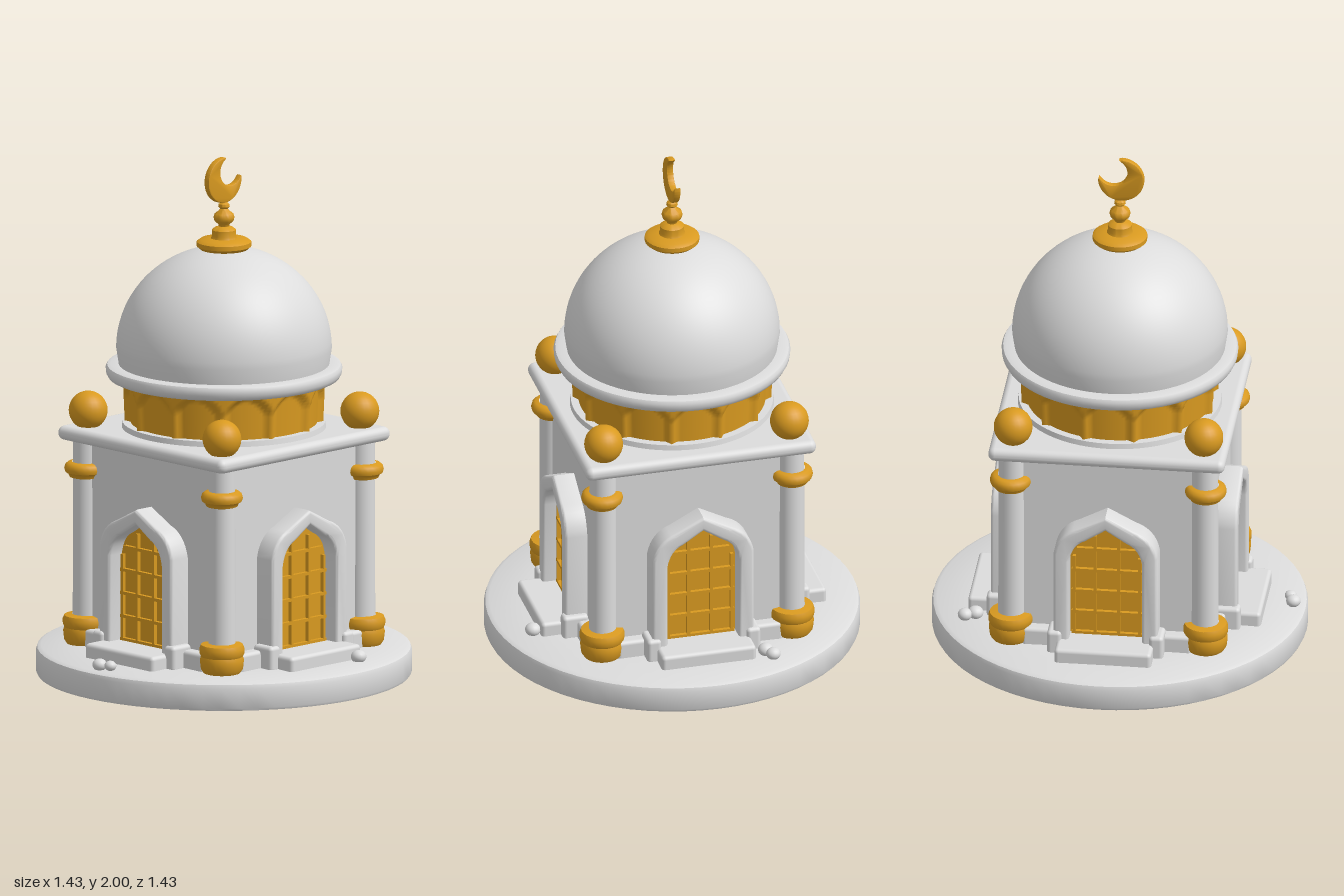
import * as THREE from 'three';
import { toCreasedNormals } from 'three/addons/utils/BufferGeometryUtils.js';
import { RoundedBoxGeometry } from 'three/addons/geometries/RoundedBoxGeometry.js';

const white = new THREE.MeshStandardMaterial({ color: 0xdcdcdc });
white.name = 'white stone';
const gold = new THREE.MeshStandardMaterial({ color: 0xd99a20 });
gold.name = 'gold';

function add(parent, name, geometry, material, x = 0, y = 0, z = 0) {
  const mesh = new THREE.Mesh(geometry, material);
  mesh.name = name;
  mesh.position.set(x, y, z);
  parent.add(mesh);
  return mesh;
}

// Turned part from [radius, height] pairs, bottom to top
function turned(profile, segments = 48) {
  const points = profile.map(([r, y]) => new THREE.Vector2(r, y));
  return toCreasedNormals(new THREE.LatheGeometry(points, segments), 0.7);
}

function block(w, h, d, r = 0.015) {
  return new RoundedBoxGeometry(w, h, d, 3, r);
}

// Pointed arch outline
function arch(target, half, bottom, shoulder, apex) {
  const mid = shoulder + (apex - shoulder) * 0.5;
  target.moveTo(-half, bottom);
  target.lineTo(half, bottom);
  target.lineTo(half, shoulder);
  target.quadraticCurveTo(half * 0.92, mid, half * 0.55, mid + (apex - mid) * 0.3);
  target.lineTo(0, apex);
  target.lineTo(-half * 0.55, mid + (apex - mid) * 0.3);
  target.quadraticCurveTo(-half * 0.92, mid, -half, shoulder);
  return target;
}

// Doorway on the +z side
function doorway() {
  const g = new THREE.Group();
  const outline = arch(new THREE.Shape(), 0.187, 0.11, 0.53, 0.685);
  outline.holes.push(arch(new THREE.Path(), 0.152, 0.13, 0.5, 0.655));
  const frame = new THREE.ExtrudeGeometry(outline, {
    depth: 0.095, bevelThickness: 0.012, bevelSize: 0.012, bevelSegments: 3, curveSegments: 8,
  });
  add(g, 'archFrame', toCreasedNormals(frame, 0.6), white, 0, 0, 0.365);

  const panel = new THREE.ShapeGeometry(arch(new THREE.Shape(), 0.148, 0.13, 0.48, 0.65));
  add(g, 'doorPanel', panel, gold, 0, 0, 0.405);
  for (const [x, top] of [[-0.125, 0.5], [-0.045, 0.59], [0.045, 0.59], [0.125, 0.5]]) {
    add(g, 'latticeUpright', new THREE.BoxGeometry(0.012, top - 0.14, 0.02), gold, x, (top + 0.14) / 2, 0.41);
  }
  for (const [y, w] of [[0.17, 0.27], [0.26, 0.27], [0.35, 0.27], [0.44, 0.27], [0.53, 0.23]]) {
    add(g, 'latticeRail', new THREE.BoxGeometry(w, 0.012, 0.02), gold, 0, y, 0.41);
  }

  add(g, 'doorStep', block(0.37, 0.075, 0.17), white, 0, 0.128, 0.475);
  for (const s of [-1, 1]) {
    add(g, 'stepCheek', block(0.055, 0.1, 0.1), white, s * 0.195, 0.15, 0.435);
    add(g, 'wallPlinth', block(0.13, 0.09, 0.08), white, s * 0.26, 0.135, 0.39);
  }
  return g;
}

// Gold drum with shallow arched niches pressed into its side
function nichedDrum() {
  const geometry = new THREE.CylinderGeometry(0.385, 0.385, 0.19, 192, 16, true);
  const p = geometry.attributes.position;
  for (let i = 0; i < p.count; i++) {
    const angle = Math.atan2(p.getX(i), p.getZ(i));
    const across = Math.abs(((angle * 12 / (2 * Math.PI) + 12.5) % 1) - 0.5) * 2;
    const height = (p.getY(i) + 0.095) / 0.19;
    const rim = 0.92 - 0.4 * across * across;
    const inside = THREE.MathUtils.smoothstep(0.94 - across, 0, 0.12)
      * THREE.MathUtils.smoothstep(rim - height, -0.04, 0.06);
    const r = 0.385 - 0.022 * inside - 0.008 * (1 - height);
    p.setXYZ(i, Math.sin(angle) * r, p.getY(i), Math.cos(angle) * r);
  }
  geometry.computeVertexNormals();
  return geometry;
}

export function createModel() {
  const model = new THREE.Group();
  model.name = 'domedPavilion';

  // Round base and square body
  add(model, 'base', turned([[0, 0], [0.71, 0], [0.715, 0.01], [0.715, 0.085],
    [0.71, 0.1], [0.695, 0.108], [0.5, 0.113], [0, 0.115]], 64), white);
  add(model, 'walls', new THREE.BoxGeometry(0.77, 0.82, 0.77), white, 0, 0.51, 0);
  add(model, 'roofSlab', block(0.905, 0.055, 0.905, 0.026), white, 0, 0.927, 0);

  // Four doorways
  for (let i = 0; i < 4; i++) {
    const side = doorway();
    side.name = ['frontDoorway', 'leftDoorway', 'backDoorway', 'rightDoorway'][i];
    side.rotation.y = i * Math.PI / 2;
    model.add(side);
  }

  // Corner columns with gold feet, collars and balls
  const shaft = new THREE.CylinderGeometry(0.05, 0.052, 0.8, 24);
  const foot = turned([[0, 0.11], [0.07, 0.11], [0.08, 0.125], [0.084, 0.16], [0.08, 0.175],
    [0.085, 0.185], [0.086, 0.205], [0.08, 0.22], [0.05, 0.225]], 24);
  const collar = turned([[0.05, 0.755], [0.06, 0.758], [0.065, 0.77], [0.076, 0.777],
    [0.08, 0.79], [0.076, 0.805], [0.065, 0.814], [0.05, 0.816]], 24);
  const ball = new THREE.SphereGeometry(0.074, 24, 16);
  for (const x of [-1, 1]) for (const z of [-1, 1]) {
    add(model, 'columnShaft', shaft, white, x * 0.37, 0.5, z * 0.37);
    add(model, 'columnFoot', foot, gold, x * 0.373, 0, z * 0.373);
    add(model, 'columnCollar', collar, gold, x * 0.373, 0, z * 0.373);
    add(model, 'cornerBall', ball, gold, x * 0.365, 1.015, z * 0.365);
  }

  // Drum, cornice and dome
  add(model, 'drumFoot', new THREE.CylinderGeometry(0.385, 0.39, 0.03, 64), white, 0, 0.96, 0);
  add(model, 'drum', nichedDrum(), gold, 0, 1.06, 0);
  add(model, 'cornice', turned([[0.36, 1.143], [0.425, 1.143], [0.44, 1.15], [0.448, 1.165],
    [0.45, 1.185], [0.444, 1.196], [0.43, 1.2], [0.39, 1.2]], 64), white);
  const domeProfile = [[0.4, 1.195]];
  for (let i = 0; i <= 24; i++) {
    const a = i / 24 * Math.PI / 2;
    domeProfile.push([0.41 * Math.cos(a), 1.26 + 0.392 * Math.sin(a)]);
  }
  add(model, 'dome', turned(domeProfile, 64), white);

  // Finial
  add(model, 'finialStem', turned([[0, 1.64], [0.09, 1.643], [0.104, 1.655], [0.104, 1.672],
    [0.09, 1.682], [0.05, 1.686], [0.046, 1.695], [0.046, 1.718], [0.035, 1.727], [0.02, 1.732],
    [0.022, 1.74], [0.036, 1.752], [0.04, 1.766], [0.036, 1.78], [0.02, 1.792], [0.014, 1.8],
    [0.022, 1.808], [0.02, 1.818], [0.011, 1.825], [0.01, 1.84], [0, 1.842]], 32), gold);

  // Crescent opening to the upper right, found from two crossing circles
  const R = 0.084, r = 0.06, d = 0.045, tilt = Math.PI / 4;
  const reach = (R * R - r * r + d * d) / (2 * d);
  const outer = Math.acos(reach / R);
  const inner = Math.acos((reach - d) / r);
  const moon = new THREE.Shape();
  moon.absarc(0, 0, R, tilt + outer, tilt - outer + 2 * Math.PI, false);
  moon.absarc(d * Math.cos(tilt), d * Math.sin(tilt), r, tilt - inner + 2 * Math.PI, tilt + inner, true);
  const crescent = new THREE.ExtrudeGeometry(moon, {
    depth: 0.016, bevelThickness: 0.005, bevelSize: 0.004, bevelSegments: 2, curveSegments: 32,
  });
  add(model, 'crescent', toCreasedNormals(crescent, 0.7), gold, -0.005, 1.912, -0.008);

  // Pebbles on the base
  const pebble = new THREE.SphereGeometry(1, 16, 12);
  for (const [x, z, s] of [[-0.663, 0.005, 0.028], [-0.648, 0.048, 0.023], [0.525, -0.23, 0.03],
    [0.563, -0.25, 0.028], [0.145, 0.585, 0.03]]) {
    add(model, 'pebble', pebble, white, x, 0.127, z).scale.set(s, s * 0.85, s);
  }
  return model;
}
